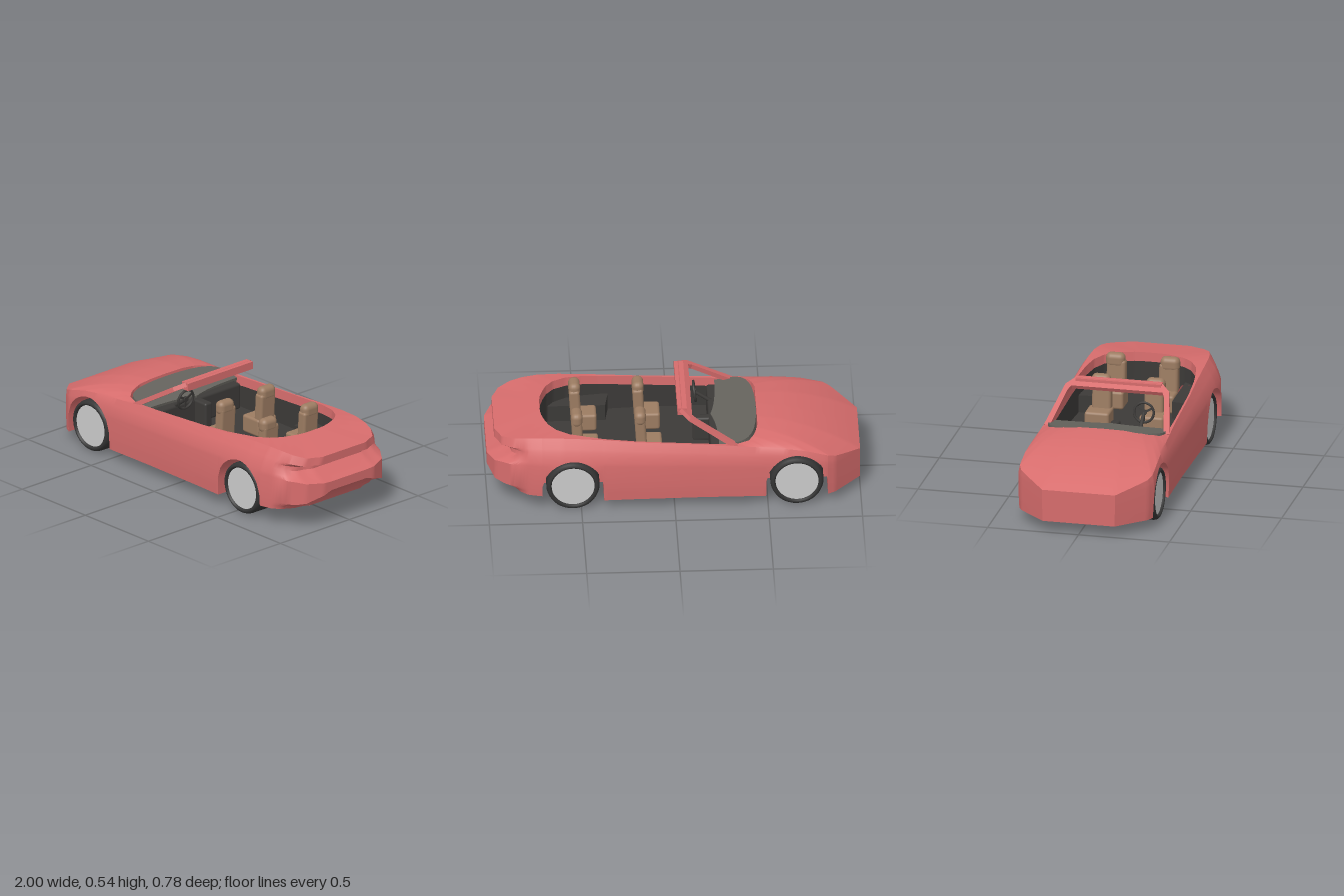
import * as THREE from 'three';
import { toCreasedNormals } from 'three/addons/utils/BufferGeometryUtils.js';
import { RoundedBoxGeometry } from 'three/addons/geometries/RoundedBoxGeometry.js';

const mat = (color) => new THREE.MeshStandardMaterial({ color });
const lerp = THREE.MathUtils.lerp, clamp = THREE.MathUtils.clamp;
const WHEELS = [-0.655, 0.545], ARCH = 0.165, AXLE_Y = 0.145, WELL_Z = 0.198;

// Half outline, nose to tail: x, half width, shoulder height, then cockpit opening x, z, y
const PLAN = [
  [-1, 0, 0.24, -0.45, 0, 0.41],
  [-1, 0.2, 0.24, -0.45, 0.12, 0.408],
  [-0.86, 0.352, 0.29, -0.45, 0.19, 0.4],
  [-0.821, 0.372, 0.305, -0.445, 0.21, 0.398],
  [-0.819, 0.373, 0.305, -0.444, 0.211, 0.398],
  [-0.7, 0.382, 0.335, -0.435, 0.25, 0.39],
  [-0.6, 0.382, 0.347, -0.42, 0.28, 0.385],
  [-0.491, 0.38, 0.355, -0.4, 0.305, 0.375],
  [-0.489, 0.38, 0.355, -0.399, 0.306, 0.375],
  [-0.33, 0.378, 0.365, -0.33, 0.325, 0.365],
  [-0.16, 0.377, 0.375, -0.16, 0.327, 0.374],
  [0.2, 0.382, 0.395, 0.2, 0.322, 0.395],
  [0.379, 0.387, 0.41, 0.37, 0.312, 0.408],
  [0.381, 0.387, 0.41, 0.372, 0.312, 0.408],
  [0.5, 0.391, 0.418, 0.47, 0.3, 0.418],
  [0.6, 0.393, 0.423, 0.56, 0.28, 0.424],
  [0.709, 0.387, 0.424, 0.63, 0.24, 0.428],
  [0.711, 0.387, 0.424, 0.631, 0.239, 0.428],
  [0.8, 0.365, 0.418, 0.67, 0.19, 0.43],
  [0.88, 0.335, 0.408, 0.69, 0.14, 0.43],
  [0.96, 0.275, 0.395, 0.705, 0.09, 0.43],
  [1, 0.18, 0.393, 0.71, 0.05, 0.43],
  [1, 0, 0.393, 0.71, 0, 0.43],
];

// Tail profile from bumper bottom to boot lip: x offset, height, drop towards the corners
const TAIL = [[-0.11, 0.102, 0], [-0.09, 0.145, 0.025], [0, 0.208, 0.065], [0, 0.258, -0.012],
  [-0.06, 0.288, 0], [-0.1, 0.315, 0], [-0.1, 0.337, 0], [-0.04, 0.352, 0], [-0.04, 0.395, 0]];

function columns() {
  const out = [];
  for (let i = 0; i < PLAN.length - 1; i++) {
    const a = PLAN[i], b = PLAN[i + 1];
    const n = Math.ceil(Math.hypot(b[0] - a[0], b[1] - a[1]) / 0.02);
    for (let k = 0; k < n; k++) out.push(a.map((v, j) => lerp(v, b[j], k / n)));
  }
  out.push(PLAN[PLAN.length - 1]);
  return out;
}

// Skins columns of points given for the +z half, mirrored into a closed ring
function skin(half, crease) {
  const mirrored = half.slice(1, -1).reverse().map((c) => c.map(([x, y, z]) => [x, y, -z]));
  const cols = half.concat(mirrored), rows = half[0].length, index = [];
  for (let i = 0; i < cols.length; i++) {
    const p = i * rows, q = ((i + 1) % cols.length) * rows;
    for (let j = 0; j < rows - 1; j++) index.push(p + j, q + j, q + j + 1, p + j, q + j + 1, p + j + 1);
  }
  const g = new THREE.BufferGeometry();
  g.setAttribute('position', new THREE.Float32BufferAttribute(cols.flat(2), 3));
  g.setIndex(index);
  return toCreasedNormals(g, crease);
}

// One column of the bodywork: floor, wheel well, flank, bonnet or boot, inner lip
function bodyColumn([X, Z, T, oX, oZ, oY]) {
  const base = X < 0.71 ? 0.063 : 0.1;
  const wheel = WHEELS.find((c) => Math.abs(X - c) < ARCH);
  const bottom = wheel === undefined ? base : AXLE_Y + Math.sqrt(ARCH ** 2 - (X - wheel) ** 2);
  const tail = clamp((X - 0.78) / 0.2, 0, 1), corner = clamp((Z - 0.13) / 0.18, 0, 1);
  const flank = TAIL.map(([dx, ty, drop], j) => {
    // rows keep their level and stop at the wheel arch
    const level = lerp(0.1, T, (ty - drop * corner - 0.102) / 0.293);
    const y = j === 0 ? bottom : Math.max(level, bottom + 0.001 * j);
    const inset = 5.5 * Math.max(0, y - 0.24) ** 2 + 0.7 * Math.max(0, 0.2 - y) ** 2;
    return [X + dx * tail, y, Z * (1 - inset)];
  });
  const x0 = flank[0][0], zi = Math.min(WELL_Z, Z);
  const under = [[x0, base, 0], [x0, base, zi], [x0, bottom, zi]];
  const [ex, ey, ez] = flank[flank.length - 1];
  const deck = [0.12, 0.28, 0.5, 0.75, 1].map((s) =>
    [lerp(ex, oX, s), lerp(ey, oY, 1 - (1 - s) ** (X < -0.4 ? 1.9 : 1)), lerp(ez, oZ, s)]);
  return [...under, ...flank, ...deck, [oX * 0.995, oY - 0.05, oZ * 0.99]];
}

// One column of the cabin lining, stepped in over the rear wheels
function tubColumn([, , , oX, oZ, oY]) {
  const x = oX * 0.995, z = oZ * 0.99, zi = oX > 0.34 ? Math.min(z, WELL_Z) : z;
  return [[x, oY - 0.05, z], [x, 0.297, z], [x, 0.295, zi], [x, 0.2, zi], [x, 0.2, 0]];
}

export function createModel() {
  const car = new THREE.Group();
  const paint = mat(0xd66c6c), dark = mat(0x3c3a38), dashGrey = mat(0x65635d);
  const leather = mat(0x9c7c62), rubber = mat(0x353535), metal = mat(0xcccccc);
  const add = (parent, name, geo, material, x = 0, y = 0, z = 0) => {
    const m = new THREE.Mesh(geo, material);
    m.name = name;
    m.position.set(x, y, z);
    parent.add(m);
    return m;
  };
  const group = (name, x, y, z) => {
    const g = new THREE.Group();
    g.name = name;
    g.position.set(x, y, z);
    car.add(g);
    return g;
  };

  const cols = columns();
  add(car, 'body', skin(cols.map(bodyColumn), 0.6), paint);
  add(car, 'cabinLining', skin(cols.map(tubColumn), 0.5), dark);

  // Dashboard top, curved to the rear edge of the bonnet
  const dash = new THREE.Shape();
  dash.moveTo(-0.24, -0.322);
  dash.lineTo(-0.34, -0.322);
  dash.bezierCurveTo(-0.42, -0.31, -0.45, -0.22, -0.452, 0);
  dash.bezierCurveTo(-0.45, 0.22, -0.42, 0.31, -0.34, 0.322);
  dash.lineTo(-0.24, 0.322);
  dash.quadraticCurveTo(-0.24, 0.1, -0.205, 0);
  dash.quadraticCurveTo(-0.24, -0.1, -0.24, -0.322);
  const dashGeo = new THREE.ExtrudeGeometry(dash, { depth: 0.03, bevelEnabled: false, curveSegments: 10 });
  dashGeo.rotateX(Math.PI / 2).translate(0.24, 0, 0).rotateZ(-0.17);
  add(car, 'dashboardTop', dashGeo, dashGrey, -0.24, 0.36, 0);
  add(car, 'dashboard', new RoundedBoxGeometry(0.09, 0.15, 0.62, 2, 0.015), dark, -0.24, 0.27, 0);
  add(car, 'centreConsole', new RoundedBoxGeometry(0.1, 0.14, 0.05, 2, 0.012), dark, -0.16, 0.27, 0);

  // Windscreen frame: tilted arch of two pillars and a header
  const frame = new THREE.Shape([
    [0.345, 0], [0.285, 0.29], [0.235, 0.345], [-0.235, 0.345], [-0.285, 0.29], [-0.345, 0],
    [-0.312, 0], [-0.265, 0.25], [-0.25, 0.28], [0.25, 0.28], [0.265, 0.25], [0.312, 0],
  ].map(([u, v]) => new THREE.Vector2(u, v)));
  const a = 0.54;
  const tilt = new THREE.Matrix4().makeBasis(
    new THREE.Vector3(0, 0, 1),
    new THREE.Vector3(Math.cos(a), Math.sin(a), 0),
    new THREE.Vector3(-Math.sin(a), Math.cos(a), 0));
  const frameGeo = new THREE.ExtrudeGeometry(frame, { depth: 0.025, bevelEnabled: false }).applyMatrix4(tilt);
  add(car, 'windscreenFrame', frameGeo, paint, -0.325, 0.345, 0);
  add(car, 'windscreenHeader', new THREE.BoxGeometry(0.05, 0.042, 0.47), paint, -0.045, 0.521, 0);

  // Steering wheel with three spokes, and its column down to the dashboard
  const steering = group('steeringWheel', -0.127, 0.4, 0.155);
  steering.rotation.z = -0.12;
  add(steering, 'steeringRim', new THREE.TorusGeometry(0.054, 0.007, 8, 28).rotateY(Math.PI / 2), dark);
  add(steering, 'steeringHub', new THREE.CylinderGeometry(0.016, 0.016, 0.014, 14).rotateZ(Math.PI / 2), dark);
  for (let i = 0; i < 3; i++) {
    const spoke = new THREE.BoxGeometry(0.006, 0.052, 0.012).translate(0, -0.027, 0);
    add(steering, 'steeringSpoke', spoke.rotateX((i * Math.PI * 2) / 3), dark);
  }
  const columnGeo = new THREE.CylinderGeometry(0.009, 0.011, 0.11, 10).translate(0, -0.055, 0);
  add(car, 'steeringColumn', columnGeo, dark, -0.127, 0.398, 0.155).rotation.z = -0.95;

  // Four seats; the rear cushions are narrower, between the wheel wells
  for (const [x, width] of [[0.06, 0.135], [0.4, 0.113]]) {
    for (const side of [-1, 1]) {
      const seat = group('seat', x, 0, side * 0.15);
      const cushion = new RoundedBoxGeometry(0.13, 0.1, width, 2, 0.014);
      add(seat, 'seatCushion', cushion, leather, 0.065, 0.255, side * (width - 0.135) / 2);
      const back = new RoundedBoxGeometry(0.058, 0.2, 0.105, 2, 0.015);
      add(seat, 'seatBack', back, leather, 0.114, 0.35, side * -0.006).rotation.z = -0.06;
      add(seat, 'headrest', new RoundedBoxGeometry(0.062, 0.08, 0.105, 4, 0.028), leather, 0.118, 0.448, 0);
    }
  }

  // Wheels: rounded tyre and a plain recessed disc
  const tyre = [[0.113, -0.06], [0.118, -0.083], [0.128, -0.085], [0.138, -0.077], [0.143, -0.06],
    [0.143, 0.06], [0.138, 0.077], [0.128, 0.085], [0.118, 0.083], [0.113, 0.06]]
    .map(([r, w]) => new THREE.Vector2(r, w));
  for (const x of WHEELS) {
    for (const z of [-0.285, 0.285]) {
      const wheel = group('wheel', x, AXLE_Y - 0.002, z);
      add(wheel, 'tyre', new THREE.LatheGeometry(tyre, 40).rotateX(Math.PI / 2), rubber);
      add(wheel, 'rim', new THREE.CylinderGeometry(0.115, 0.115, 0.145, 40).rotateX(Math.PI / 2), metal);
    }
  }
  return car;
}
